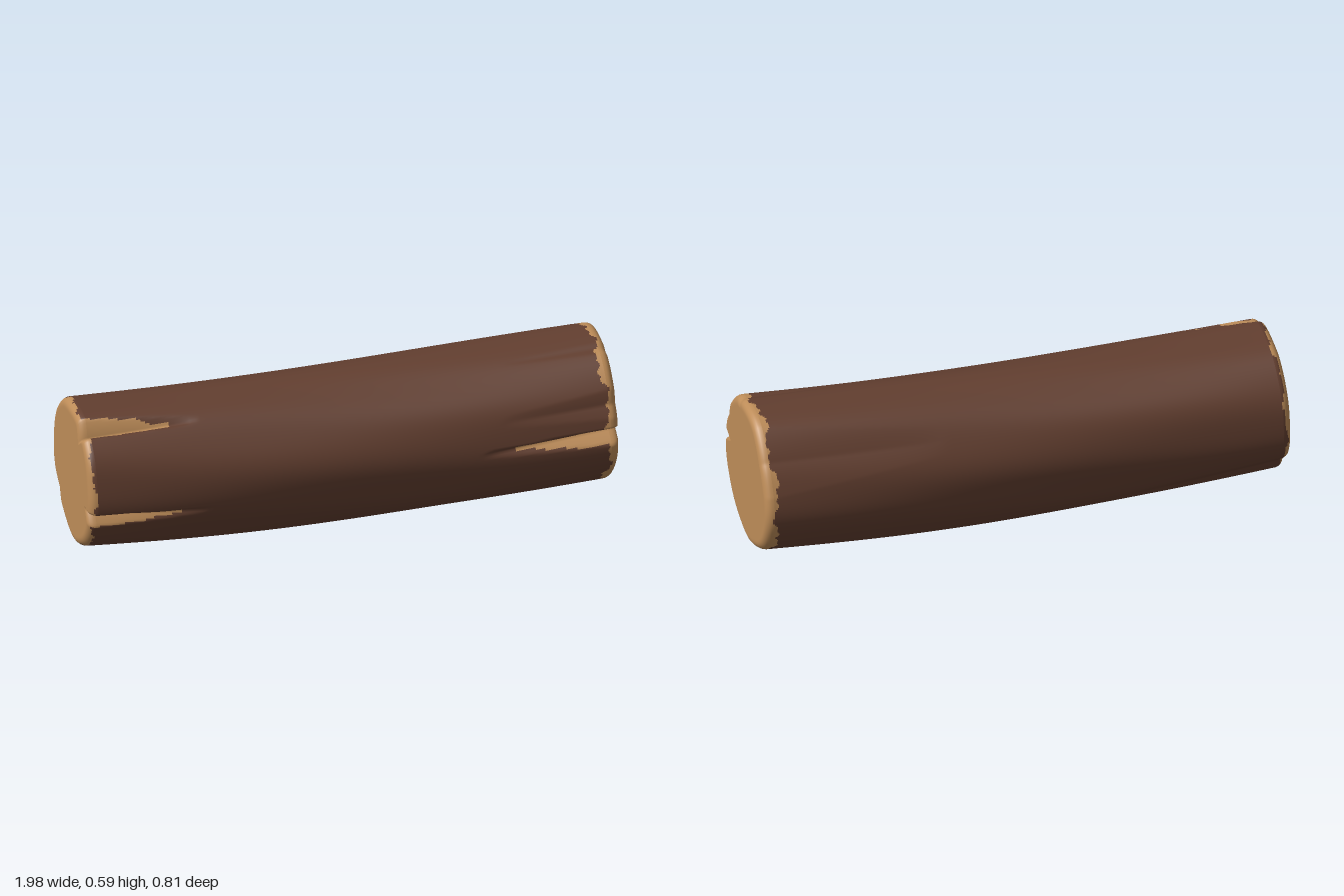
import * as THREE from 'three';

const L = 0.967;      // half length along the log's own axis
const ROUND = 0.03;   // rounding of the end rims
const AROUND = 240;
const YAW = 0.145;    // the log lies slightly askew

const clamp = (v) => Math.min(1, Math.max(0, v));
const angleDiff = (a, b) => Math.atan2(Math.sin(a - b), Math.cos(a - b));

// Splits running in from an end: angle (0 = front, PI/2 = top), start, depth, widths below / above, bare wood or not
const splits = [
  { end: 1, at: 0.07, from: 0.48, depth: 0.06, below: 0.17, above: 0.06, bare: true },
  { end: -1, at: -0.22, from: 0.52, depth: 0.05, below: 0.17, above: 0.06, bare: true },
  { end: -1, at: 1.02, from: 0.55, depth: 0.055, below: 0.09, above: 0.24, bare: true },
  { end: 1, at: 0.45, from: 0.55, depth: 0.014, below: 0.2, above: 0.2, bare: false },
  { end: 1, at: 1.25, from: 0.6, depth: 0.008, below: 0.1, above: 0.1, bare: false },
  { end: 1, at: 2.45, from: 0.3, depth: 0.018, below: 0.5, above: 0.5, bare: false },
  { end: -1, at: -2.4, from: 0.3, depth: 0.02, below: 0.3, above: 0.2, bare: false },
];

// How far along (0..1) and across (0..1) a split a point lies
function splitAt(sp, s, a) {
  const along = clamp((s * sp.end - sp.from) / (L - sp.from));
  const d = angleDiff(a, sp.at);
  const width = (d < 0 ? sp.below : sp.above) * (0.35 + 0.65 * along);
  return { along, across: clamp(1 - Math.abs(d) / width) };
}

// Gently uneven trunk without the splits
function trunkRadius(s, a) {
  return 0.271 + 0.006 * s + 0.01 * Math.sin(a) ** 2 * (1 - s * s)
    + 0.004 * Math.sin(3 * a + 2 * s + 1) + 0.0025 * Math.sin(5 * a - 3 * s)
    + 0.0015 * Math.sin(9 * a + 4 * s);
}

function splitRadius(s, a) {
  let r = trunkRadius(s, a);
  for (const sp of splits) {
    const { along, across } = splitAt(sp, s, a);
    r -= sp.depth * Math.pow(along, 0.8) * across;
  }
  return r;
}

// Bare wood shows past the ragged bark edge and inside the deep splits
function isWood(s, a) {
  const rag = Math.sin(7 * a + 1) * 0.5 + Math.sin(17 * a) * 0.3 + Math.sin(41 * a + 2) * 0.2;
  const band = s > 0 ? 0.04 + 0.022 * rag : 0.02 + 0.012 * rag;
  if (Math.abs(s) > L - band) return true;
  return splits.some((sp) => {
    if (!sp.bare) return false;
    const { along, across } = splitAt(sp, s, a);
    return across > 0 && along * (0.4 + across) > 0.3 + 0.05 * Math.sin(60 * s);
  });
}

// Cross-sections from the left end's centre to the right end's centre
function makeRows() {
  const half = [];
  for (let i = 0; i <= 60; i++) {
    half.push({ s: (L - ROUND) * Math.sin((i / 60) * Math.PI / 2), inset: 0, k: 1 });
  }
  for (let i = 1; i <= 6; i++) {
    const t = (i / 6) * Math.PI / 2;
    half.push({ s: L - ROUND * (1 - Math.sin(t)), inset: ROUND * (1 - Math.cos(t)), k: 1 });
  }
  for (const k of [0.97, 0.9, 0.82, 0.74, 0.5, 0.25, 0]) {
    half.push({ s: L, inset: ROUND, k, cap: true });
  }
  const left = half.slice(1).reverse().map((r) => ({ ...r, s: -r.s }));
  return [...left, ...half];
}

function makeLogGeometry() {
  const rows = makeRows();
  const position = [];
  for (const row of rows) {
    const cy = 0.283 + 0.026 * row.s ** 2 + 0.008 * row.s;
    for (let j = 0; j < AROUND; j++) {
      const a = (j / AROUND) * Math.PI * 2;
      const rim = splitRadius(row.s, a) - row.inset;
      const r = Math.min(rim, (trunkRadius(row.s, a) - row.inset) * row.k);
      position.push(row.s, cy + r * Math.sin(a), r * Math.cos(a));
    }
  }
  const bark = [];
  const wood = [];
  for (let i = 0; i < rows.length - 1; i++) {
    const s = (rows[i].s + rows[i + 1].s) / 2;
    for (let j = 0; j < AROUND; j++) {
      const n = (j + 1) % AROUND;
      const p = i * AROUND + j, q = p + AROUND;
      const u = i * AROUND + n, v = u + AROUND;
      const end = rows[i].cap || rows[i + 1].cap;
      const target = end || isWood(s, ((j + 0.5) / AROUND) * Math.PI * 2) ? wood : bark;
      target.push(p, q, v, p, v, u);
    }
  }
  const geometry = new THREE.BufferGeometry();
  geometry.setAttribute('position', new THREE.Float32BufferAttribute(position, 3));
  geometry.setIndex([...bark, ...wood]);
  geometry.addGroup(0, bark.length, 0);
  geometry.addGroup(bark.length, wood.length, 1);
  geometry.computeVertexNormals();
  // Rest on the ground
  geometry.computeBoundingBox();
  geometry.translate(0, -geometry.boundingBox.min.y, 0);
  return geometry;
}

export function createModel() {
  const barkMaterial = new THREE.MeshStandardMaterial({ color: 0x633f30 });
  barkMaterial.name = 'bark brown';
  const woodMaterial = new THREE.MeshStandardMaterial({ color: 0xbd8c58 });
  woodMaterial.name = 'bare wood';

  const log = new THREE.Mesh(makeLogGeometry(), [barkMaterial, woodMaterial]);
  log.name = 'log';
  log.rotation.y = -YAW;

  const model = new THREE.Group();
  model.name = 'splitLog';
  model.add(log);
  return model;
}
